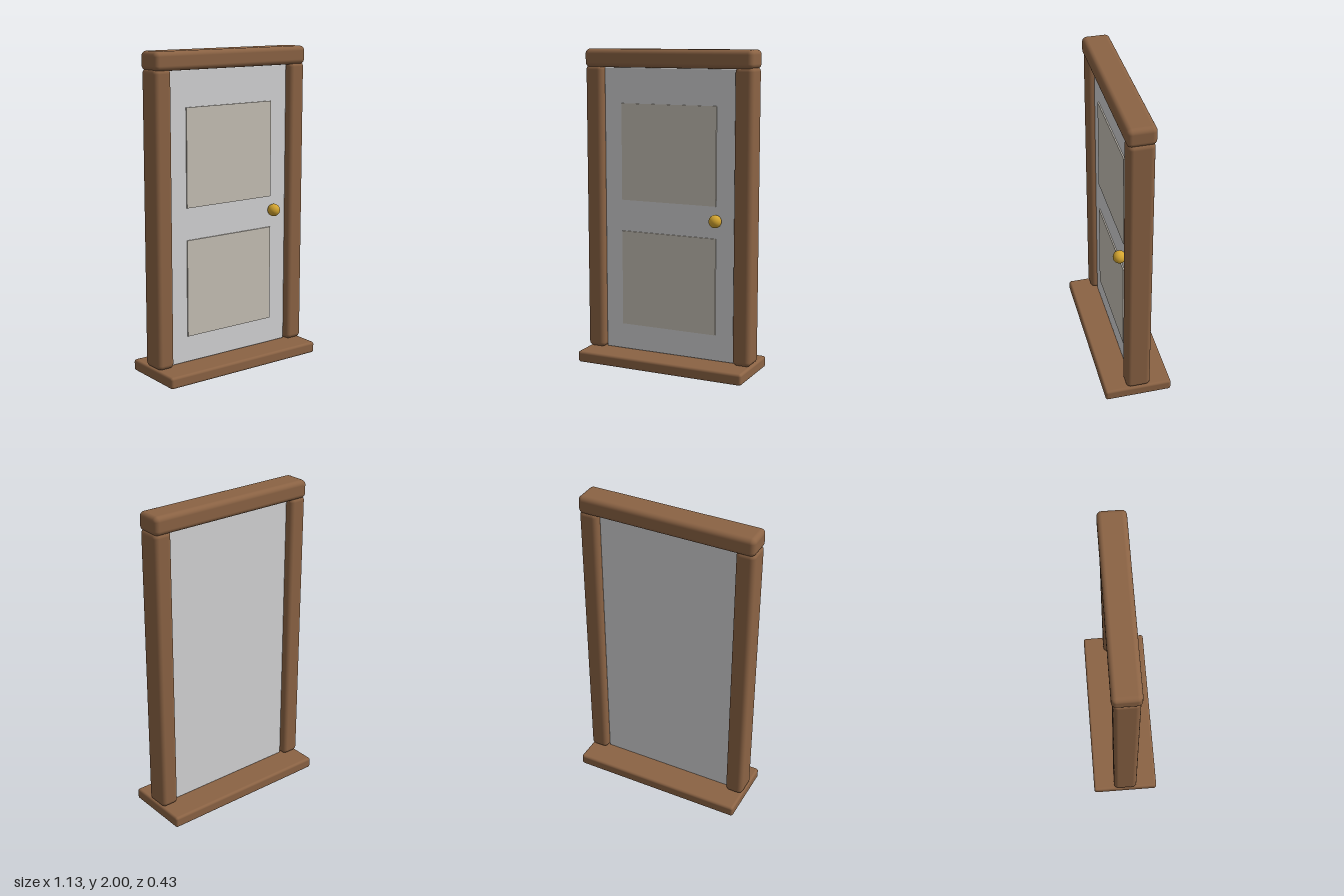
import * as THREE from 'three';
import { RoundedBoxGeometry } from 'three/addons/geometries/RoundedBoxGeometry.js';

function material(name, color) {
  const m = new THREE.MeshStandardMaterial({ color });
  m.name = name;
  return m;
}

export function createModel() {
  const wood = material('brown wood', 0x8b6344);
  const paint = material('pale grey paint', 0xd4d4d5);
  const inset = material('warm grey panel', 0xc7c1b6);
  const brass = material('brass', 0xd4a530);

  const model = new THREE.Group();
  model.name = 'door';

  function add(name, geometry, mat, x, y, z) {
    const mesh = new THREE.Mesh(geometry, mat);
    mesh.name = name;
    mesh.position.set(x, y, z);
    model.add(mesh);
  }

  // Rounded beam spanning y0 to y1
  function beam(name, mat, x, y0, y1, width, depth, radius) {
    add(name, new RoundedBoxGeometry(width, y1 - y0, depth, 4, radius), mat, x, (y0 + y1) / 2, 0);
  }

  // Frame: threshold, two jambs and header
  beam('threshold', wood, 0, 0, 0.072, 1.13, 0.43, 0.016);
  for (const [name, side] of [['leftJamb', 1], ['rightJamb', -1]]) {
    beam(name, wood, side * 0.506, 0.072, 1.9, 0.118, 0.155, 0.03);
  }
  beam('header', wood, 0, 1.886, 2, 1.13, 0.172, 0.03);

  // Door leaf
  beam('doorLeaf', paint, 0, 0.074, 1.888, 0.894, 0.07, 0.008);

  // Thin panels on the front of the leaf
  for (const [name, y] of [['lowerPanel', 0.547], ['upperPanel', 1.358]]) {
    add(name, new THREE.BoxGeometry(0.645, 0.61, 0.009), inset, -0.002, y, 0.0385);
  }

  // Round knob
  add('knob', new THREE.SphereGeometry(0.04, 24, 16), brass, 0.328, 0.966, 0.069);

  return model;
}
